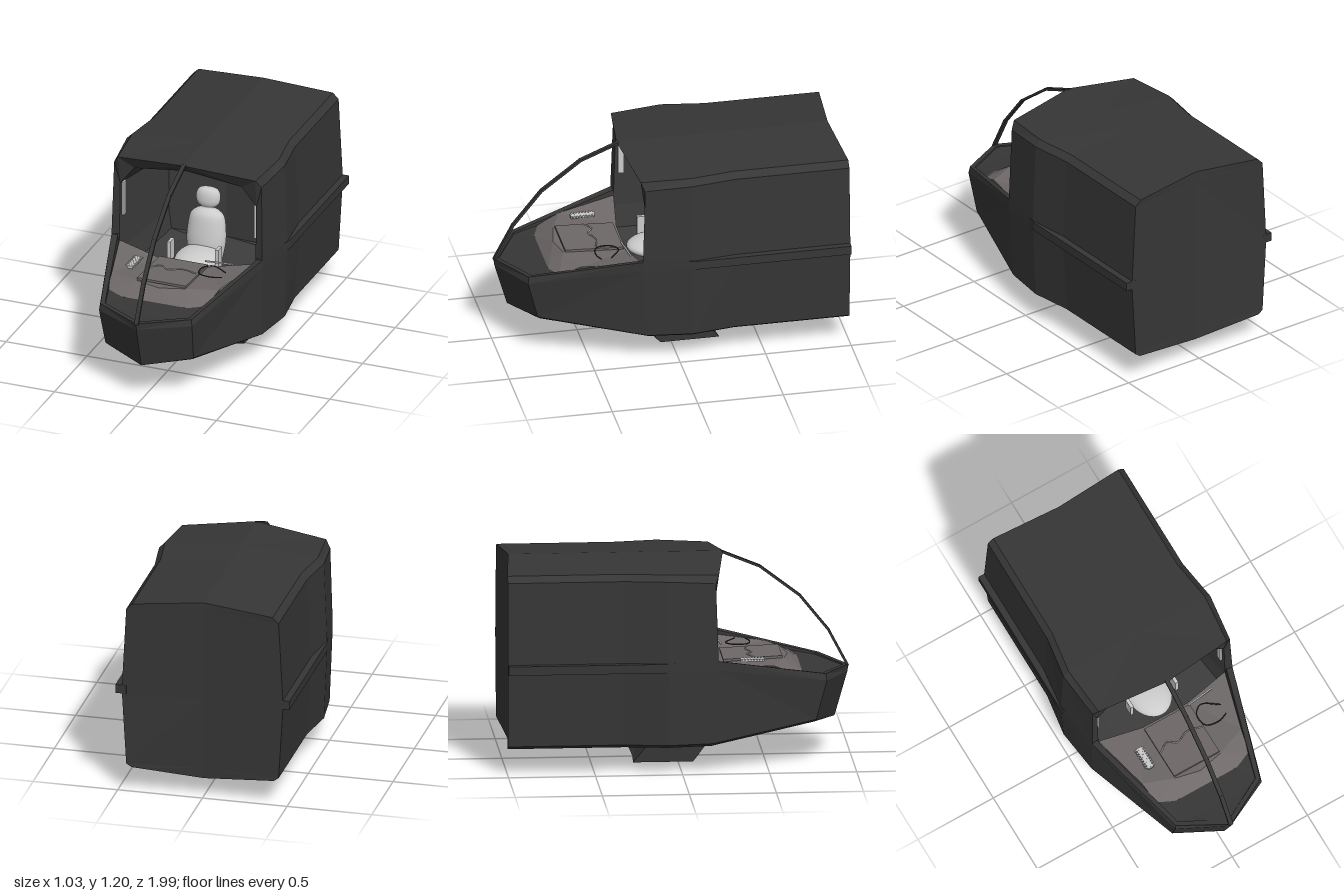
import * as THREE from 'three';

const material = (color, flat = true) =>
  new THREE.MeshStandardMaterial({ color, flatShading: flat, side: THREE.DoubleSide });
const dark = material(0x363636);
const lining = material(0x3c3c3c);
const brown = material(0x6e6868);
const grey = material(0xcccccc, false);

// Skins rows of +x half-section points and mirrors them across x = 0
function mirroredLoft(name, rows, mat) {
  const pos = [];
  for (const s of [1, -1]) {
    const tri = (...pts) => {
      for (const p of s > 0 ? pts : pts.reverse()) pos.push(s * p[0], p[1], p[2]);
    };
    for (let i = 0; i < rows.length - 1; i++) {
      for (let j = 0; j < rows[i].length - 1; j++) {
        const a = rows[i][j], b = rows[i + 1][j], c = rows[i + 1][j + 1], d = rows[i][j + 1];
        tri(a, b, c);
        tri(a, c, d);
      }
    }
  }
  const geo = new THREE.BufferGeometry();
  geo.setAttribute('position', new THREE.Float32BufferAttribute(pos, 3));
  geo.computeVertexNormals();
  return named(name, new THREE.Mesh(geo, mat));
}

function named(name, object) {
  object.name = name;
  return object;
}

function box(name, size, at, mat) {
  const m = named(name, new THREE.Mesh(new THREE.BoxGeometry(...size), mat));
  m.position.set(...at);
  return m;
}

// Square bar between two points
function bar(name, a, b, w, d, mat) {
  const p = new THREE.Vector3(...a), q = new THREE.Vector3(...b);
  const m = box(name, [w, d, p.distanceTo(q) + 0.008], p.clone().add(q).multiplyScalar(0.5).toArray(), mat);
  m.lookAt(q);
  return m;
}

function cable(name, pts, mat) {
  const curve = new THREE.CatmullRomCurve3(pts.map(p => new THREE.Vector3(...p)));
  return named(name, new THREE.Mesh(new THREE.TubeGeometry(curve, 32, 0.004, 6), mat));
}

// Half cabin section: roof ridge, shoulder, belt, chine, keel
const cabinSection = (z, wr, wm, zMid = z) => [
  [0, 1.2, zMid], [wr - 0.035, 1.165, z], [wr, 1.13, z], [wm, 0.655, z],
  [wm, 0.6, z], [wr, 0.17, z], [wr - 0.03, 0.15, z], [0, 0.11, zMid],
];

function createHull() {
  const hull = named('hull', new THREE.Group());
  const back = cabinSection(-1, 0.45, 0.475, -0.965);
  const front = [
    [0, 1.2, 0.27], [0.425, 1.155, 0.215], [0.455, 1.11, 0.195], [0.465, 0.655, 0.21],
    [0.465, 0.6, 0.21], [0.455, 0.17, 0.18], [0.425, 0.15, 0.17], [0, 0.11, 0.24],
  ];
  hull.add(mirroredLoft('cabinShell', [
    back.map(p => [0, p[1], -0.965]), back, cabinSection(-0.33, 0.45, 0.475),
    cabinSection(-0.08, 0.487, 0.505), front,
  ], dark));

  // Nose with pointed prow
  hull.add(mirroredLoft('nose', [
    front.slice(3),
    [[0.28, 0.53, 0.84], [0.287, 0.49, 0.845], [0.272, 0.26, 0.785], [0.26, 0.245, 0.775], [0, 0.22, 0.91]],
    [[0, 0.52, 0.99], [0, 0.48, 0.985], [0, 0.235, 0.915], [0, 0.22, 0.91], [0, 0.22, 0.91]],
  ], dark));

  // Coaming along the nose rim
  const rim = [[0.465, 0.655, 0.21], [0.28, 0.53, 0.84], [0, 0.52, 0.99]];
  const inner = [[0.43, 0.65, 0.2], [0.26, 0.53, 0.82], [0, 0.52, 0.96]];
  const low = [[0.42, 0.56, 0.2], [0.255, 0.49, 0.81], [0, 0.49, 0.95]];
  hull.add(mirroredLoft('coaming', [rim, inner, low], dark));

  // Deck ahead of the console
  hull.add(mirroredLoft('foredeck', [
    [[0, 0.53, 0.69], [0.18, 0.53, 0.69], [0.31, 0.545, 0.65]],
    [[0, 0.515, 0.84], [0.16, 0.515, 0.84], [0.265, 0.52, 0.82]],
    [[0, 0.515, 0.97], [0, 0.515, 0.97], [0, 0.515, 0.97]],
  ], dark));

  // Window jamb, tapering cabin lining and rear bulkhead
  const jamb = [
    [0, 1.15, 0.23], [0.33, 1.09, 0.19], [0.42, 0.98, 0.19], [0.42, 0.655, 0.2],
    [0.42, 0.56, 0.2], [0.4, 0.42, 0.2], [0.3, 0.4, 0.2], [0, 0.4, 0.2],
  ];
  const rear = jamb.map(([x, y]) => [x * 0.8, 0.7 + (y - 0.7) * 0.85, -0.35]);
  hull.add(mirroredLoft('windowJamb', [front.slice(0, 4), jamb.slice(0, 4)], dark));
  hull.add(mirroredLoft('cabinLining', [jamb, rear, rear.map(p => [0, p[1], -0.4])], lining));

  // Side belts, fading into the wall at the front
  for (const s of [-1, 1]) {
    const plan = new THREE.Shape([[0.45, -1], [0.514, -1], [0.514, -0.1], [0.48, 0.05], [0.45, 0.05]]
      .map(([x, z]) => new THREE.Vector2(s * x, -z)));
    const geo = new THREE.ExtrudeGeometry(plan, { depth: 0.052, bevelEnabled: false });
    geo.rotateX(-Math.PI / 2).translate(0, 0.602, 0);
    hull.add(named(s > 0 ? 'leftBelt' : 'rightBelt', new THREE.Mesh(geo, dark)));
  }
  return hull;
}

function createSkid() {
  // Raked foot with a shallow keel
  const side = [[0.18, 0.17], [0.075, 0.032], [-0.1, 0.032], [-0.27, 0.032], [-0.165, 0.16]];
  const keel = [[0.18, 0.13], [0.13, 0.003], [-0.1, 0.025], [-0.25, 0], [-0.165, 0.13]];
  const at = (x, list) => list.map(([z, y]) => [x, y, z]);
  return mirroredLoft('skid', [
    at(0, keel), at(0.3, side), side.map(([z]) => [0.3, 0.16, Math.min(0.18, Math.max(-0.165, z))]),
  ], dark);
}

function createSeat() {
  const seat = named('seat', new THREE.Group());
  // Backrest and headrest as one flattened turned form
  const outline = new THREE.SplineCurve([
    [0.1, 0.45], [0.118, 0.56], [0.115, 0.65], [0.102, 0.72], [0.07, 0.752], [0.042, 0.768],
    [0.06, 0.785], [0.072, 0.81], [0.072, 0.85], [0.055, 0.878], [0.025, 0.887], [0, 0.888],
  ].map(p => new THREE.Vector2(...p)));
  const backGeo = new THREE.LatheGeometry(outline.getPoints(48).map(p => p.set(Math.max(0, p.x), p.y)), 32);
  backGeo.scale(1, 1, 0.6);
  const back = named('backrest', new THREE.Mesh(backGeo, grey));
  back.rotation.x = -0.12;
  back.position.set(0, 0.005, -0.02);
  seat.add(back);

  const cushion = named('cushion', new THREE.Mesh(new THREE.SphereGeometry(1, 32, 20), grey));
  cushion.scale.set(0.13, 0.055, 0.17);
  cushion.position.set(0, 0.51, 0.04);
  seat.add(cushion);
  for (const s of [-1, 1]) seat.add(box('armrest', [0.02, 0.12, 0.06], [s * 0.148, 0.56, 0.09], grey));
  seat.add(box('pedestal', [0.12, 0.1, 0.14], [0, 0.43, 0], lining));
  return seat;
}

function createConsole() {
  const desk = named('console', new THREE.Group());
  // Dished top with a cowl sloping to the deck
  desk.add(mirroredLoft('consoleTop', [
    [[0, 0.42, 0.23], [0.15, 0.42, 0.23], [0.41, 0.42, 0.2]],
    [[0, 0.565, 0.24], [0.15, 0.57, 0.24], [0.42, 0.62, 0.2]],
    [[0, 0.59, 0.64], [0.15, 0.598, 0.61], [0.33, 0.59, 0.54]],
    [[0, 0.53, 0.71], [0.2, 0.53, 0.71], [0.305, 0.54, 0.67]],
  ], brown));
  const panel = box('centrePanel', [0.3, 0.014, 0.34], [0, 0.595, 0.43], brown);
  panel.rotation.x = -0.05;
  desk.add(panel);

  // Key block on the right shelf
  desk.add(box('keyBlock', [0.035, 0.016, 0.14], [-0.24, 0.61, 0.42], grey));
  for (let i = 0; i < 8; i++) {
    desk.add(box('key', [0.06, 0.008, 0.008], [-0.24, 0.615, 0.36 + i * 0.017], grey));
  }
  desk.add(cable('panelCable', [[-0.15, 0.605, 0.44], [-0.08, 0.61, 0.4], [-0.03, 0.608, 0.43], [0.05, 0.61, 0.4], [0.14, 0.608, 0.42]], grey));
  desk.add(cable('sideCable', [[0.3, 0.615, 0.36], [0.2, 0.612, 0.3], [0.15, 0.612, 0.34], [0.16, 0.612, 0.42], [0.24, 0.612, 0.44], [0.3, 0.612, 0.42]], dark));
  desk.add(bar('handRail', [0.14, 0.618, 0.27], [0.3, 0.618, 0.25], 0.008, 0.008, grey));
  return desk;
}

export function createModel() {
  const model = named('cockpit', new THREE.Group());
  model.add(createHull(), createSkid(), createSeat(), createConsole());

  // Centre strut of the windscreen
  const strut = named('windscreenStrut', new THREE.Group());
  const path = [[0, 1.195, 0.26], [0, 1.105, 0.48], [0, 0.93, 0.71], [0, 0.725, 0.875], [0, 0.515, 0.985]];
  for (let i = 0; i < path.length - 1; i++) strut.add(bar('strutSegment', path[i], path[i + 1], 0.025, 0.014, dark));
  model.add(strut);

  // Grab handles beside the window
  for (const s of [-1, 1]) model.add(box('grabHandle', [0.013, 0.21, 0.035], [s * 0.408, 0.875, 0.16], grey));
  return model;
}
